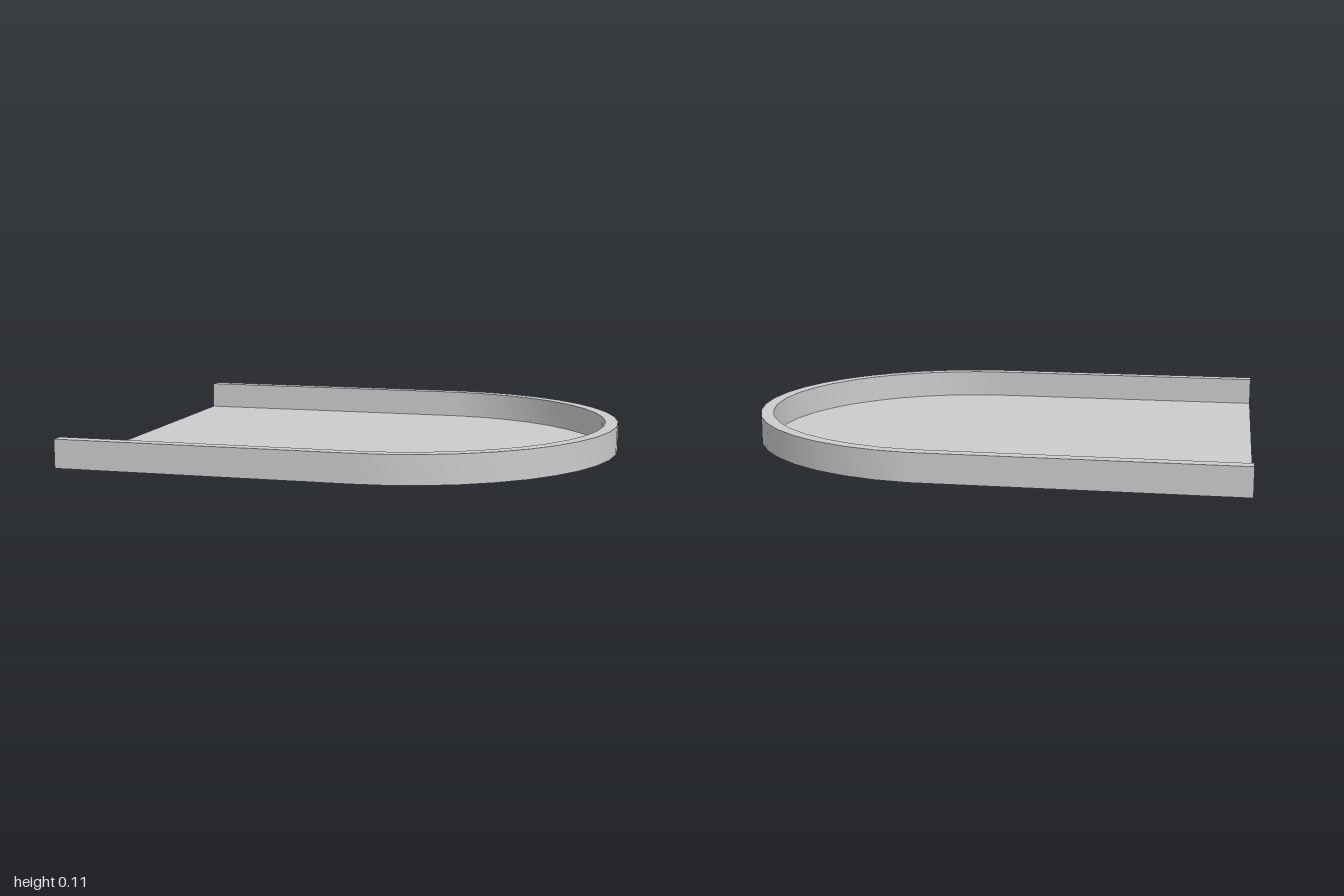
import * as THREE from 'three';

const HEIGHT = 0.11;
const OUTER = 0.85;
const INNER = 0.80;
const SEGMENTS = 20;

// U-shaped outline, [x, z]: straight side, half circle, straight side
function outline(radius) {
  const points = [[-1, -radius]];
  for (let i = 0; i <= SEGMENTS; i++) {
    const a = THREE.MathUtils.degToRad(-86 + (176 * i) / SEGMENTS);
    points.push([0.15 + radius * Math.cos(a), radius * Math.sin(a)]);
  }
  points.push([-0.985, radius]);
  return points;
}

// Band of quads joining the outline (r0, y0) to the outline (r1, y1)
function band(r0, y0, r1, y1) {
  const p0 = outline(r0), p1 = outline(r1);
  const position = [], index = [];
  p0.forEach(([x, z], i) => {
    position.push(x, y0, z, p1[i][0], y1, p1[i][1]);
    if (i > 0) {
      const k = 2 * i;
      index.push(k - 2, k - 1, k + 1, k - 2, k + 1, k);
    }
  });
  const geometry = new THREE.BufferGeometry();
  geometry.setAttribute('position', new THREE.Float32BufferAttribute(position, 3));
  geometry.setIndex(index);
  geometry.computeVertexNormals();
  return geometry;
}

export function createModel() {
  const group = new THREE.Group();
  group.name = 'tray';
  const material = new THREE.MeshStandardMaterial({ color: 0xcccccc, side: THREE.DoubleSide });
  const add = (name, geometry) => {
    const mesh = new THREE.Mesh(geometry, material);
    mesh.name = name;
    group.add(mesh);
  };

  // Thin floor inside the rim
  const shape = new THREE.Shape(outline(INNER).map(([x, z]) => new THREE.Vector2(x, -z)));
  add('floor', new THREE.ShapeGeometry(shape).rotateX(-Math.PI / 2));

  // Hollow rim, open underneath and at both ends
  add('outerWall', band(OUTER, 0, OUTER, HEIGHT));
  add('rimTop', band(OUTER, HEIGHT, INNER, HEIGHT));
  add('innerWall', band(INNER, HEIGHT, INNER, 0));

  return group;
}
